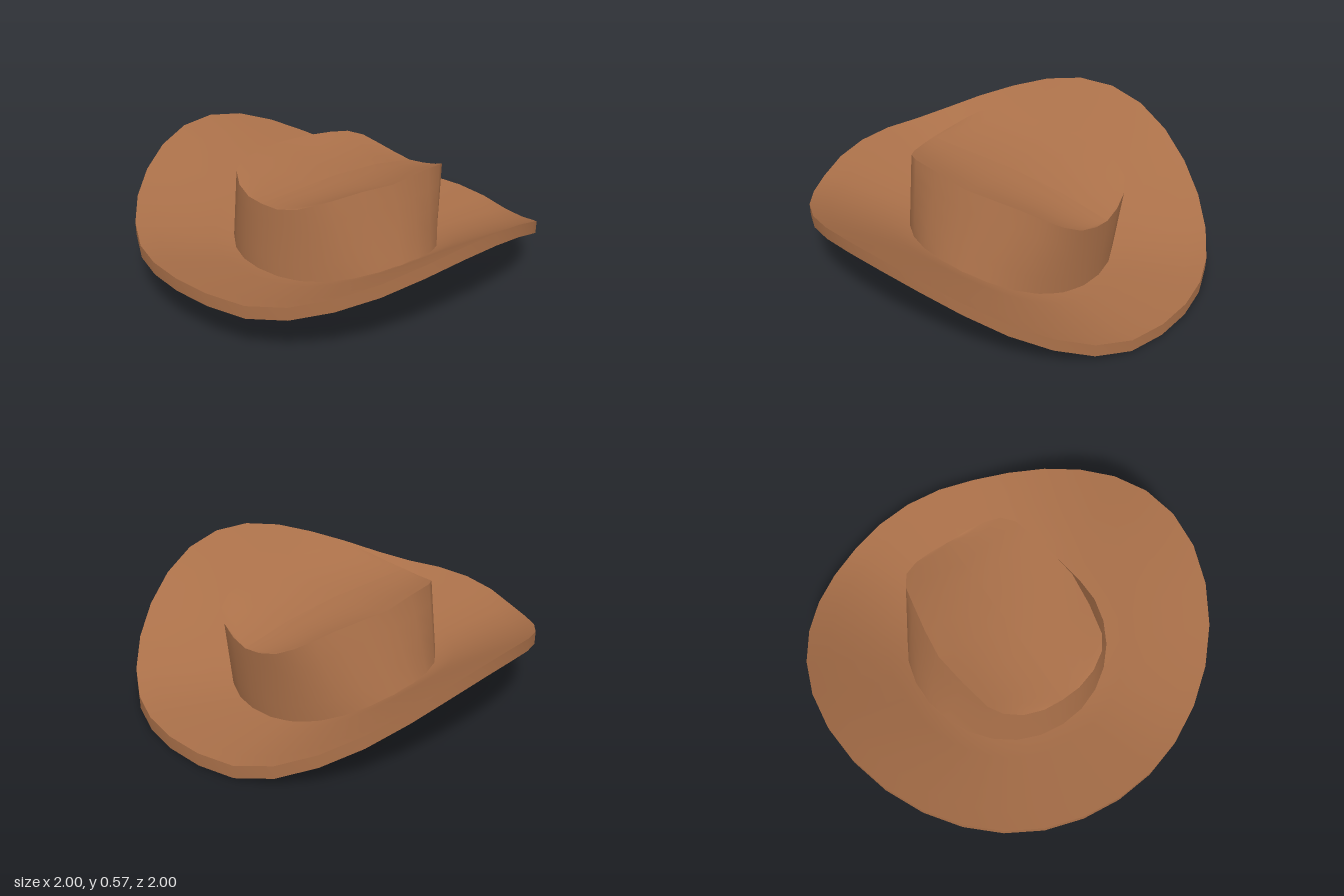
import * as THREE from 'three';

const felt = new THREE.MeshStandardMaterial({ color: 0xaa7049 });
const { lerp } = THREE.MathUtils;
const SEGMENTS = 32;

// Straight runs through a few [z, y] points given in rising z.
function polyline(points) {
  return (z) => {
    let i = 0;
    while (i < points.length - 2 && z > points[i + 1][0]) i++;
    const [z0, y0] = points[i], [z1, y1] = points[i + 1];
    return lerp(y0, y1, (z - z0) / (z1 - z0));
  };
}

// Skin a list of closed rings; normals are smooth inside one skin.
function loft(name, rings) {
  const n = rings[0].length, index = [];
  for (let i = 0; i < rings.length - 1; i++) {
    for (let j = 0; j < n; j++) {
      const k = (j + 1) % n;
      const a = i * n + j, b = a + n, c = (i + 1) * n + k, d = i * n + k;
      index.push(a, b, c, a, c, d);
    }
  }
  const g = new THREE.BufferGeometry();
  g.setAttribute('position', new THREE.Float32BufferAttribute(rings.flat(2), 3));
  g.setIndex(index);
  g.computeVertexNormals();
  const mesh = new THREE.Mesh(g, felt);
  mesh.name = name;
  return mesh;
}

// Rings between two others, ends included.
const blend = (from, to, steps) => Array.from({ length: steps + 1 }, (_, i) =>
  from.map((p, j) => p.map((v, k) => lerp(v, to[j][k], i / steps))));

// Underside slope from back to front along the middle
const centreLine = polyline([[-1, 0.002], [-0.5, 0.015], [0.5, 0.125], [1, 0.23]]);
const ROLL = 0.02;

// Outer rim: sides curl up, one side slightly higher
function rimPoint(a) {
  const x = Math.sin(a), z = Math.cos(a);
  const t = Math.max(0, (Math.abs(x) - 0.3) / 0.7);
  return [x, centreLine(z) + 0.38 * t * t + ROLL * x, z];
}

// Oval around the head, raised at the sides
function ovalPoint(a) {
  const s = Math.sin(a), x = 0.515 * s, z = 0.525 * Math.cos(a);
  return [x, centreLine(z) + 0.085 * Math.abs(s) ** 3 + ROLL * x, z];
}

const ring = (point, count) =>
  Array.from({ length: count }, (_, j) => point((j / count) * Math.PI * 2));
const lift = (points, dy) => points.map(([x, y, z]) => [x, y + dy, z]);

// Half of the crown's upper edge, front to back: x, y, z.
const halfEdge = [
  [0, 0.485, 0.49], [0.1, 0.487, 0.483], [0.2, 0.507, 0.455], [0.28, 0.54, 0.405],
  [0.325, 0.555, 0.34], [0.36, 0.557, 0.18], [0.385, 0.54, 0], [0.37, 0.53, -0.15],
  [0.345, 0.512, -0.3], [0.325, 0.49, -0.41], [0.28, 0.458, -0.485], [0.2, 0.415, -0.53],
  [0.1, 0.385, -0.55], [0, 0.37, -0.555],
];

export function createModel() {
  const hat = new THREE.Group();
  hat.name = 'hat';

  // Brim: thin at the crown, thicker at the rim; the underside closes to its middle
  const rim = ring(rimPoint, SEGMENTS);
  const rimTop = lift(rim, 0.065);
  const oval = ring(ovalPoint, SEGMENTS);
  const ovalTop = lift(oval, 0.018);
  const middle = oval.map(() => [0, centreLine(0), 0]);
  const tucked = ovalTop.map(([x, y, z]) => [x * 0.94, y, z * 0.94]);
  const brim = new THREE.Group();
  brim.name = 'brim';
  brim.add(
    loft('brimTop', [tucked, ...blend(ovalTop, rimTop, 5)]),
    loft('brimEdge', [rimTop, rim]),
    loft('brimUnderside', [...blend(rim, oval, 5), ...blend(oval, middle, 3).slice(1)]),
  );

  // Crown edge mirrored to a full loop, tilted a little to one side
  const mirrored = halfEdge.slice(1, -1).reverse().map(([x, y, z]) => [-x, y, z]);
  const edge = [...halfEdge, ...mirrored].map(([x, y, z]) => [x, y + 0.025 * x, z]);
  const base = lift(ring(ovalPoint, edge.length), 0.01);

  // Creased top: dips from the edge to a centre groove
  const groove = polyline([[-0.555, 0.37], [-0.3, 0.43], [0, 0.468], [0.49, 0.485]]);
  const topRings = [0, 0.2, 0.4, 0.6, 0.8, 1].map((s) => edge.map(([x, y, z]) =>
    [x * s, lerp(groove(z), y, s * s), z]));

  const crown = new THREE.Group();
  crown.name = 'crown';
  crown.add(loft('crownTop', topRings), loft('crownWall', blend(edge, base, 4)));

  hat.add(brim, crown);
  return hat;
}
